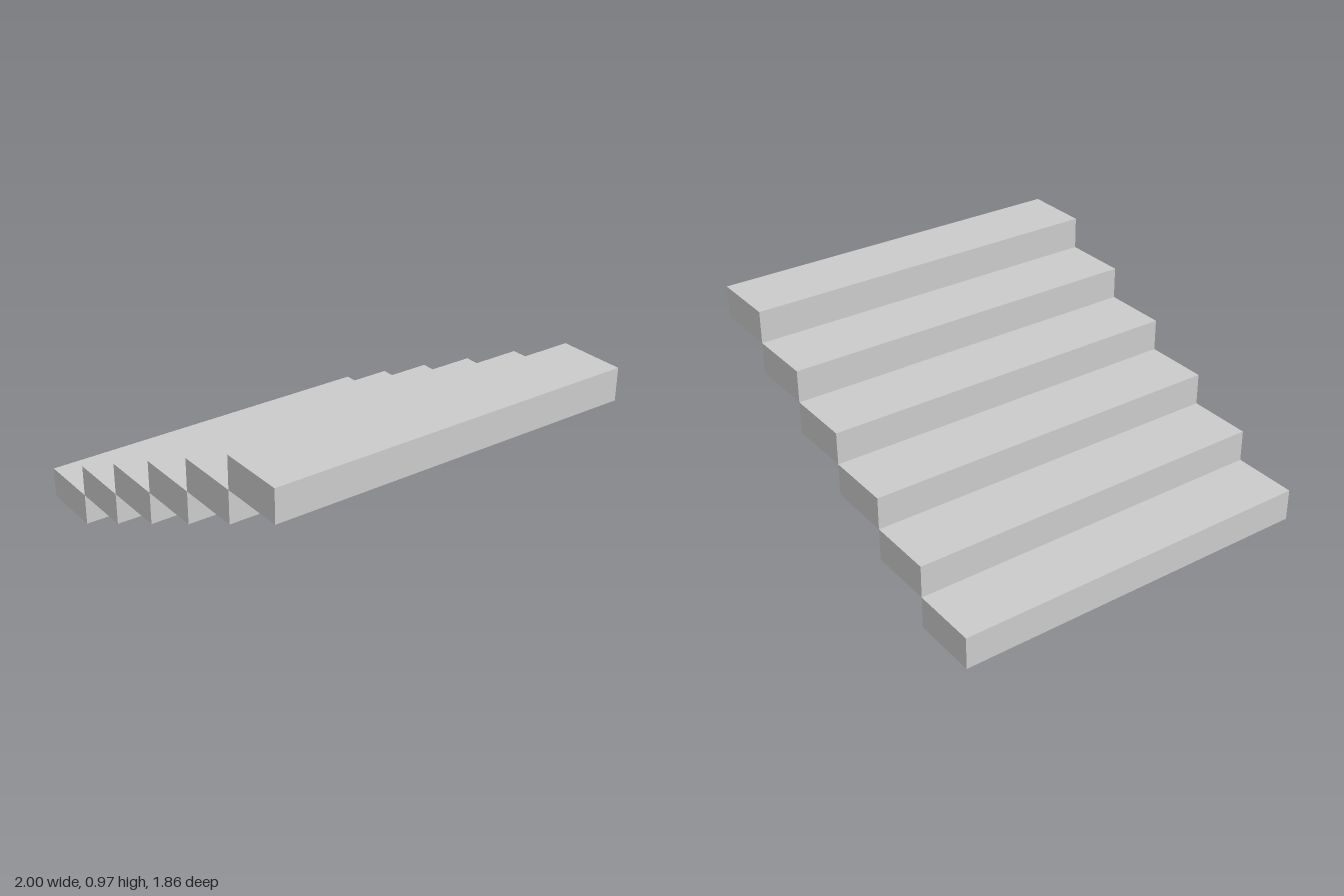
import * as THREE from 'three';

const STEPS = 6;
const RUN = 2 / STEPS; // tread width along x
const RISE = 0.162;    // block height
const DEPTH = 1.855;   // stair width along z

export function createModel() {
  const stairs = new THREE.Group();
  stairs.name = 'stairs';
  const material = new THREE.MeshStandardMaterial({ color: 0xcccccc });
  const block = new THREE.BoxGeometry(RUN, RISE, DEPTH);

  // Solid blocks touching edge to edge, climbing toward +x
  for (let i = 0; i < STEPS; i++) {
    const step = new THREE.Mesh(block, material);
    step.name = `step${i + 1}`;
    step.position.set(-1 + (i + 0.5) * RUN, (i + 0.5) * RISE, 0);
    stairs.add(step);
  }
  return stairs;
}
